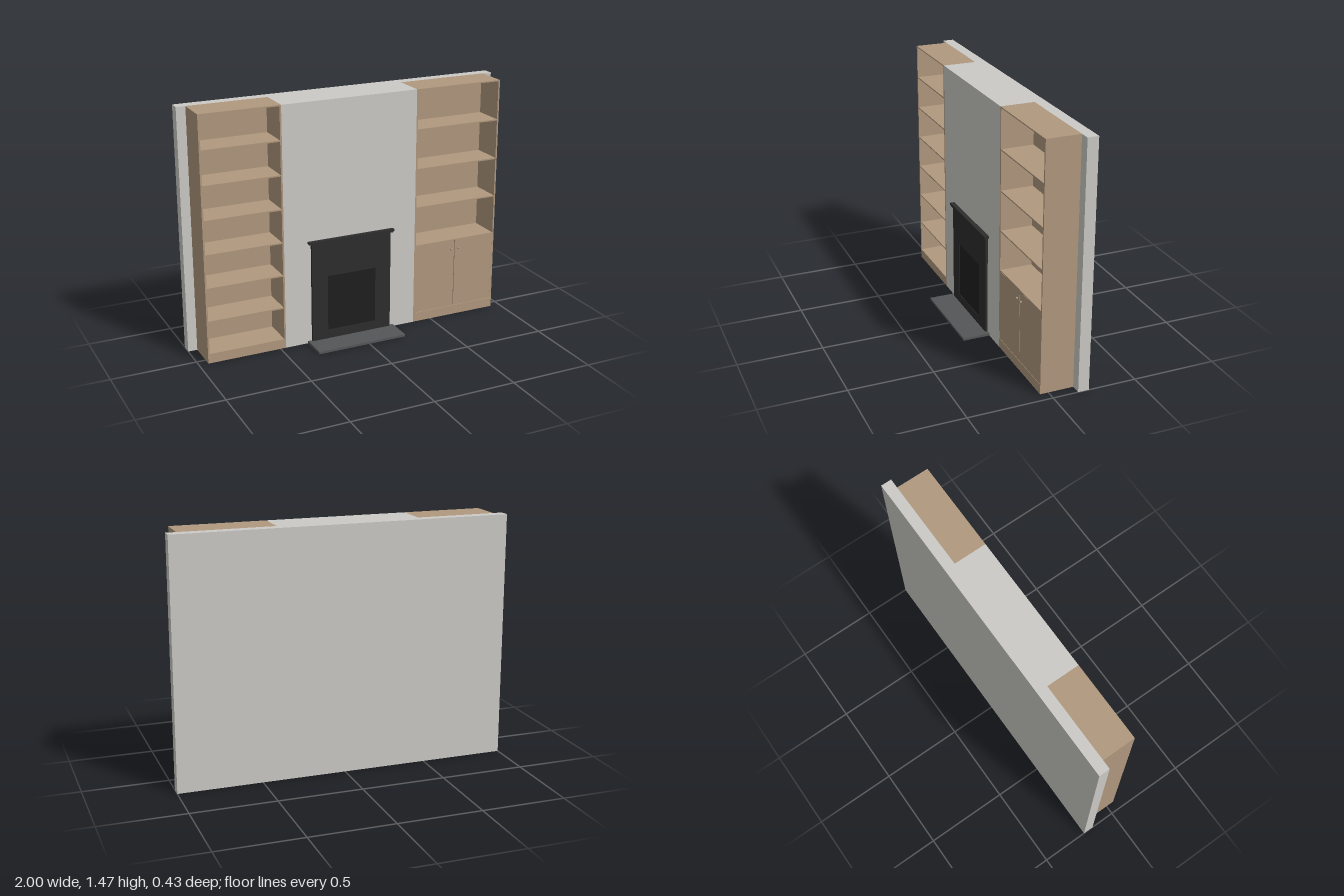
import * as THREE from 'three';

const mat = (color, extra = {}) => new THREE.MeshStandardMaterial({ color, ...extra });

export function createModel() {
  const root = new THREE.Group();
  root.name = 'fireplaceWall';
  const wall = mat(0xcbcac5), wood = mat(0xb0987e);
  const iron = mat(0x2d2d2d), firebox = mat(0x1f1f1f), slate = mat(0x555658);
  const H = 1.465, FRONT = 0.05, BACK = -0.15, T = 0.01;

  // Box given by its extents
  const box = (parent, name, x0, x1, y0, y1, z0, z1, material) => {
    const m = new THREE.Mesh(new THREE.BoxGeometry(x1 - x0, y1 - y0, z1 - z0), material);
    m.position.set((x0 + x1) / 2, (y0 + y1) / 2, (z0 + z1) / 2);
    m.name = name;
    parent.add(m);
    return m;
  };

  // Wall and chimney breast
  box(root, 'backWall', -1, 1, 0, H, -0.215, BACK, wall);
  box(root, 'chimneyBreast', -0.465, 0.38, 0, H, BACK, FRONT, wall);

  // Bookcase carcass, open underneath behind the plinth
  const bookcase = (name, x0, x1, shelfTops) => {
    const g = new THREE.Group();
    g.name = name;
    root.add(g);
    const a = x0 + T, b = x1 - T;
    box(g, 'sidePanel', x0, a, 0, H, BACK, FRONT, wood);
    box(g, 'sidePanel', b, x1, 0, H, BACK, FRONT, wood);
    box(g, 'topPanel', a, b, H - 0.007, H, BACK, FRONT, wood);
    box(g, 'backPanel', a, b, 0, H - 0.007, BACK, BACK + 0.006, wood);
    box(g, 'plinth', a, b, 0, 0.05, FRONT - T, FRONT, wood);
    box(g, 'bottomPanel', a, b, 0.05, 0.058, BACK + 0.006, FRONT, wood);
    for (const y of shelfTops) box(g, 'shelf', a, b, y - 0.008, y, BACK + 0.006, FRONT - 0.001, wood);
    return g;
  };
  bookcase('rightBookcase', -0.945, -0.465, [1, 2, 3, 4, 5, 6].map(i => 0.058 + i * 0.201));
  const cabinet = bookcase('leftBookcase', 0.38, 0.94, [0.5, 0.743, 0.983, 1.225]);

  // Cupboard doors with turned knobs
  const knobProfile = [[0, 0], [0.004, 0], [0.004, 0.005], [0.008, 0.008], [0.008, 0.011], [0.005, 0.014], [0, 0.014]]
    .map(p => new THREE.Vector2(...p));
  const MID = 0.66;
  for (const s of [-1, 1]) {
    const inner = MID + s * 0.002, outer = MID + s * 0.27;
    box(cabinet, 'cupboardDoor', Math.min(inner, outer), Math.max(inner, outer), 0.06, 0.492, FRONT - T, FRONT - 0.0005, wood);
    const knob = new THREE.Mesh(new THREE.LatheGeometry(knobProfile, 20), wood);
    knob.name = 'doorKnob';
    knob.rotation.x = Math.PI / 2;
    knob.position.set(MID + s * 0.026, 0.44, FRONT - 0.001);
    cabinet.add(knob);
  }

  // Fireplace surround with a rectangular opening
  const fire = new THREE.Group();
  fire.name = 'fireplace';
  root.add(fire);
  const rect = (C, x0, x1, y0, y1) => {
    const p = new C();
    p.moveTo(x0, y0);
    p.lineTo(x1, y0);
    p.lineTo(x1, y1);
    p.lineTo(x0, y1);
    p.closePath();
    return p;
  };
  const shape = rect(THREE.Shape, -0.3, 0.21, 0.014, 0.623);
  shape.holes.push(rect(THREE.Path, -0.2, 0.11, 0.068, 0.412));
  const surround = new THREE.Mesh(new THREE.ExtrudeGeometry(shape, { depth: 0.015, bevelEnabled: false }), iron);
  surround.name = 'surround';
  surround.position.z = FRONT;
  fire.add(surround);

  // Paired firebox panels
  box(fire, 'fireboxPanel', -0.2, -0.0455, 0.068, 0.412, FRONT, FRONT + 0.012, firebox);
  box(fire, 'fireboxPanel', -0.0445, 0.11, 0.068, 0.412, FRONT, FRONT + 0.012, firebox);

  // Stepped mantel and hearth slab
  box(fire, 'mantelMoulding', -0.31, 0.22, 0.622, 0.631, FRONT, 0.075, iron);
  box(fire, 'mantelShelf', -0.32, 0.23, 0.629, 0.641, FRONT, 0.078, iron);
  box(fire, 'hearth', -0.325, 0.238, 0, 0.014, FRONT, 0.215, slate);

  return root;
}
